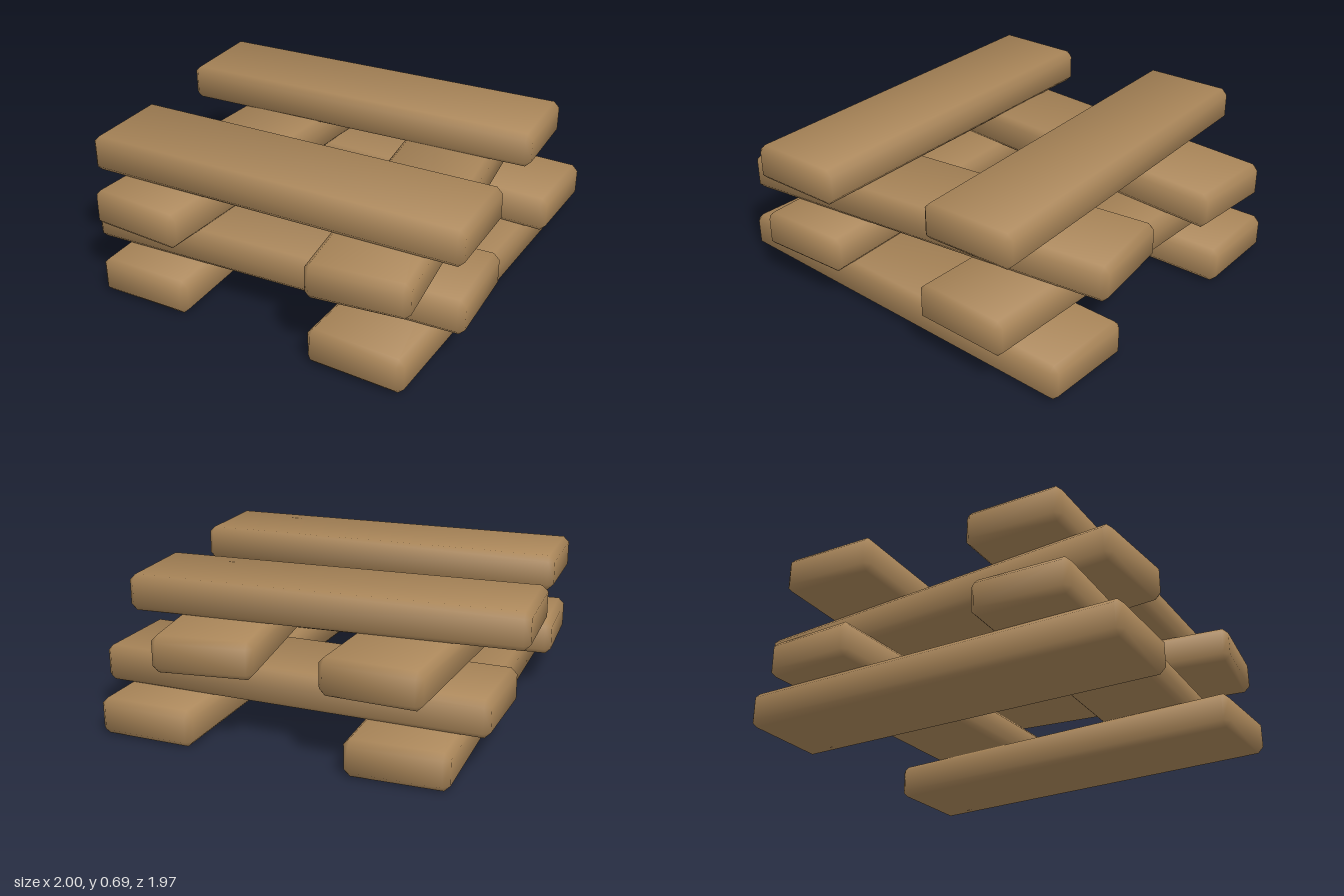
import * as THREE from 'three';
import { ConvexGeometry } from 'three/addons/geometries/ConvexGeometry.js';

const THICK = 0.172;
const BEVEL = 0.028;

// Box with chamfered edges, shaded softly across every edge.
function plankGeometry(w, h, d) {
  const half = [w / 2, h / 2, d / 2];
  const points = [];
  for (const sx of [-1, 1]) for (const sy of [-1, 1]) for (const sz of [-1, 1]) {
    const signs = [sx, sy, sz];
    for (let axis = 0; axis < 3; axis++) {
      const c = half.map((v, i) => signs[i] * (i === axis ? v : v - BEVEL));
      points.push(new THREE.Vector3(...c));
    }
  }
  const geo = new ConvexGeometry(points);
  const pos = geo.attributes.position;
  const normal = geo.attributes.normal;
  const n = new THREE.Vector3();
  for (let i = 0; i < pos.count; i++) {
    // lean each corner normal away from the face it lies on
    const c = [pos.getX(i), pos.getY(i), pos.getZ(i)];
    n.set(...c.map((v, k) => Math.sign(v) * (Math.abs(v) > half[k] - BEVEL / 2 ? 2.8 : 1.09))).normalize();
    normal.setXYZ(i, n.x, n.y, n.z);
  }
  return geo;
}

export function createModel() {
  const group = new THREE.Group();
  group.name = 'plankStack';
  const wood = new THREE.MeshStandardMaterial({ color: 0xaa8659 });
  wood.name = 'wood';

  const lengthwise = plankGeometry(0.465, THICK, 1.93);
  const crosswise = plankGeometry(1.855, THICK, 0.463);

  // name, geometry, layer, centre x, centre z, turn about y
  const planks = [
    ['bottomPlankLeft', lengthwise, 0, 0.633, -0.005, 0],
    ['bottomPlankRight', lengthwise, 0, -0.513, 0, 0.042],
    ['lowerCrossPlankBack', crosswise, 1, 0.037, -0.525, 0],
    ['lowerCrossPlankFront', crosswise, 1, 0.058, 0.52, 0.077],
    ['upperPlankLeft', lengthwise, 2, 0.49, -0.003, 0.155],
    ['upperPlankRight', lengthwise, 2, -0.47, -0.005, -0.034],
    ['topCrossPlankBack', crosswise, 3, -0.06, -0.418, 0.07],
    ['topCrossPlankFront', crosswise, 3, 0.052, 0.517, 0.049],
  ];
  for (const [name, geo, layer, x, z, turn] of planks) {
    const plank = new THREE.Mesh(geo, wood);
    plank.name = name;
    plank.position.set(x, THICK / 2 + layer * 0.171, z);
    plank.rotation.y = turn;
    group.add(plank);
  }
  return group;
}
